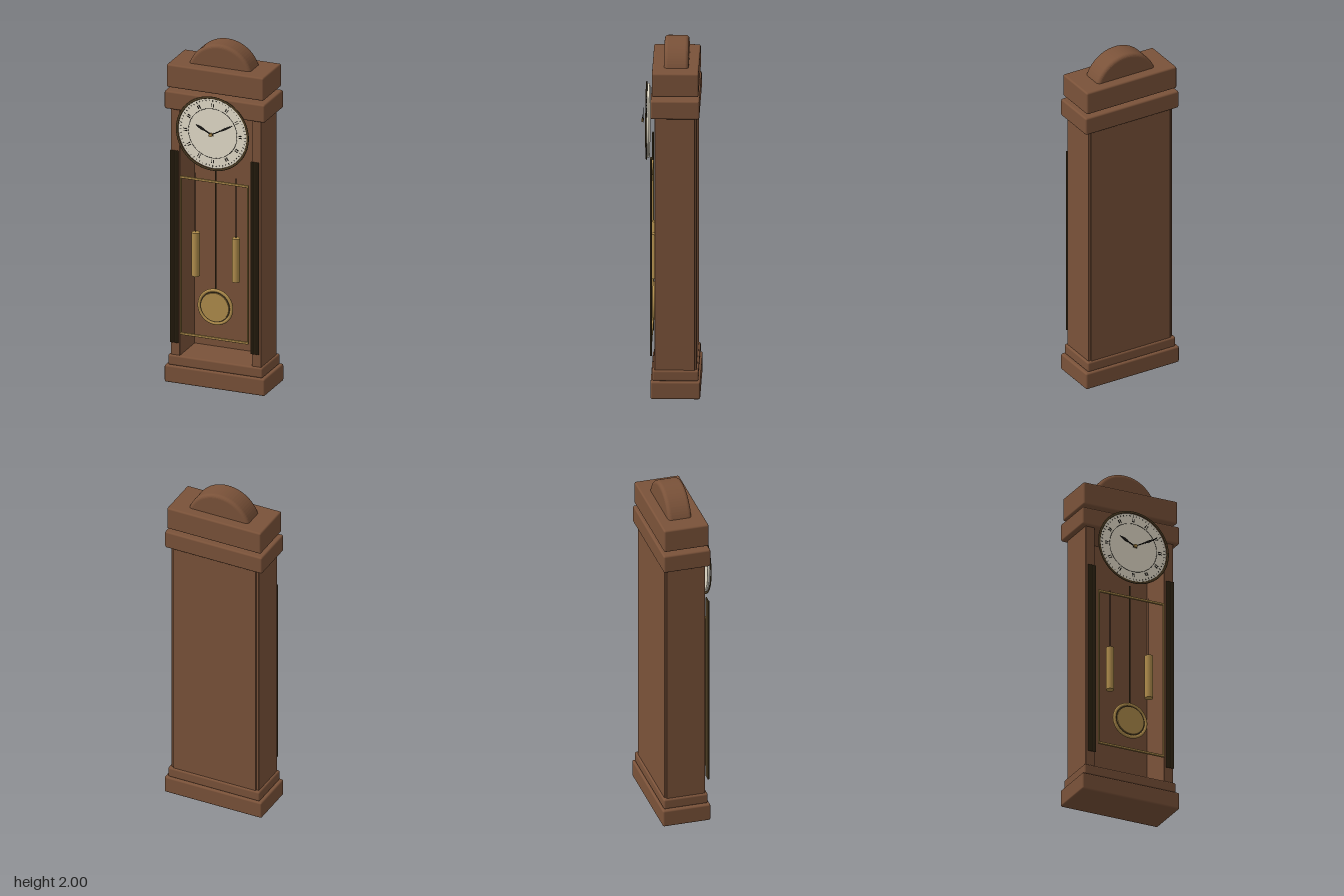
import * as THREE from 'three';
import { RoundedBoxGeometry } from 'three/addons/geometries/RoundedBoxGeometry.js';

const paint = (color) => new THREE.MeshStandardMaterial({ color });
const wood = paint(0x7a5239);
const brass = paint(0xb08d4c);
const bronze = paint(0x4a3b22);
const ivory = paint(0xe6dfcc);
const black = paint(0x1c1a18);

const DIAL_Y = 1.515;

export function createModel() {
  const model = new THREE.Group();
  model.name = 'longcaseClock';

  function add(name, geometry, material, x = 0, y = 0, z = 0, parent = model) {
    const mesh = new THREE.Mesh(geometry, material);
    mesh.name = name;
    mesh.position.set(x, y, z);
    parent.add(mesh);
    return mesh;
  }

  // Rounded block given by its half width and its y and z ranges
  function block(name, halfX, y0, y1, z0, z1, r = 0.01, material = wood) {
    const geometry = new RoundedBoxGeometry(halfX * 2, y1 - y0, z1 - z0, 3, r);
    return add(name, geometry, material, 0, (y0 + y1) / 2, (z0 + z1) / 2);
  }

  // Upright rod between two heights
  function rod(name, r, y0, y1, x, z, material, sides = 12) {
    const geometry = new THREE.CylinderGeometry(r, r, y1 - y0, sides);
    return add(name, geometry, material, x, (y0 + y1) / 2, z);
  }

  // Flat disc facing the front
  function disc(name, r, depth, y, z, material) {
    const geometry = new THREE.CylinderGeometry(r, r, depth, 64).rotateX(Math.PI / 2);
    return add(name, geometry, material, 0, y, z);
  }

  // Plinth
  block('basePlinth', 0.3, 0, 0.1, -0.167, 0.107);
  block('upperPlinth', 0.283, 0.1, 0.16, -0.157, 0.097);

  // Hollow case, open at the front
  block('backPanel', 0.255, 0.155, 1.615, -0.147, -0.125, 0.004);
  for (const side of [-1, 1]) {
    block('sidePanel', 0.0275, 0.155, 1.615, -0.138, 0.085, 0.004).position.x = side * 0.2425;
  }

  // Hood
  block('lowerCornice', 0.3, 1.61, 1.715, -0.162, 0.107);
  block('upperCornice', 0.29, 1.735, 1.87, -0.157, 0.1);

  // Rounded crown, running down through the cornices
  const crownShape = new THREE.Shape().absarc(0, 0, 0.175, 0, Math.PI * 2);
  const crown = new THREE.ExtrudeGeometry(crownShape, {
    depth: 0.095, bevelSize: 0.02, bevelThickness: 0.02, bevelSegments: 5, curveSegments: 40,
  });
  add('crown', crown, wood, 0, 1.805, -0.08);

  // Reeded columns beside the door
  for (const side of [-1, 1]) {
    for (let i = 0; i < 5; i++) {
      rod('columnReed', 0.005, 0.24, 1.37, side * (0.221 + i * 0.01), 0.105, bronze, 8);
    }
  }

  // Door frame
  for (const y of [0.3, 1.222]) {
    block('doorRail', 0.205, y - 0.007, y + 0.007, 0.1, 0.113, 0.004, brass);
  }
  for (const side of [-1, 1]) {
    block('doorStile', 0.005, 0.295, 1.228, 0.1, 0.113, 0.004, brass).position.x = side * 0.2;
  }

  // Hanging weights
  for (const side of [-1, 1]) {
    rod('weight', 0.023, 0.645, 0.9, side * 0.12, 0.085, brass, 24);
    rod('weightCable', 0.0018, 0.9, 1.25, side * 0.12, 0.085, black, 6);
  }

  // Pendulum
  rod('pendulumRod', 0.004, 0.57, 1.3, 0, 0.087, bronze, 8);
  disc('pendulumBob', 0.082, 0.018, 0.48, 0.092, brass);
  disc('bobGroove', 0.095, 0.008, 0.48, 0.09, bronze);
  add('bobRim', new THREE.TorusGeometry(0.097, 0.009, 10, 64), brass, 0, 0.48, 0.092);

  // Dial and bezel
  disc('dial', 0.205, 0.012, DIAL_Y, 0.124, ivory);
  add('bezel', new THREE.TorusGeometry(0.211, 0.007, 10, 80).scale(1, 1, 0.5), bronze, 0, DIAL_Y, 0.135);

  // Dial markings
  const marks = new THREE.Group();
  marks.name = 'dialMarkings';
  marks.position.set(0, DIAL_Y, 0.131);
  model.add(marks);
  const mark = (name, w, h, r, angle) => {
    const mesh = add(name, new THREE.BoxGeometry(w, h, 0.003), black,
      Math.sin(angle) * r, Math.cos(angle) * r, 0, marks);
    mesh.rotation.z = -angle;
  };
  for (let i = 0; i < 60; i++) mark('minuteMark', 0.002, i % 5 ? 0.007 : 0.012, 0.192, i * Math.PI / 30);
  for (let i = 0; i < 12; i++) {
    const angle = i * Math.PI / 6;
    for (const offset of [-0.035, 0.035]) mark('hourMark', 0.004, 0.02, 0.165, angle + offset);
  }
  add('innerTrack', new THREE.TorusGeometry(0.145, 0.0012, 6, 80), black, 0, 0, 0, marks);

  // Leaf shaped hands
  function hand(name, length, width, angle, z) {
    const shape = new THREE.Shape();
    shape.moveTo(-0.003, -0.015);
    shape.lineTo(0.003, -0.015);
    shape.lineTo(0.003, length * 0.45);
    shape.quadraticCurveTo(width, length * 0.62, 0, length);
    shape.quadraticCurveTo(-width, length * 0.62, -0.003, length * 0.45);
    const geometry = new THREE.ExtrudeGeometry(shape, { depth: 0.003, bevelEnabled: false });
    add(name, geometry, black, 0, DIAL_Y, z).rotation.z = angle;
  }
  hand('hourHand', 0.103, 0.013, 1.1, 0.151);
  hand('minuteHand', 0.152, 0.01, -1.07, 0.155);
  disc('handCap', 0.01, 0.012, DIAL_Y, 0.158, brass);

  return model;
}
